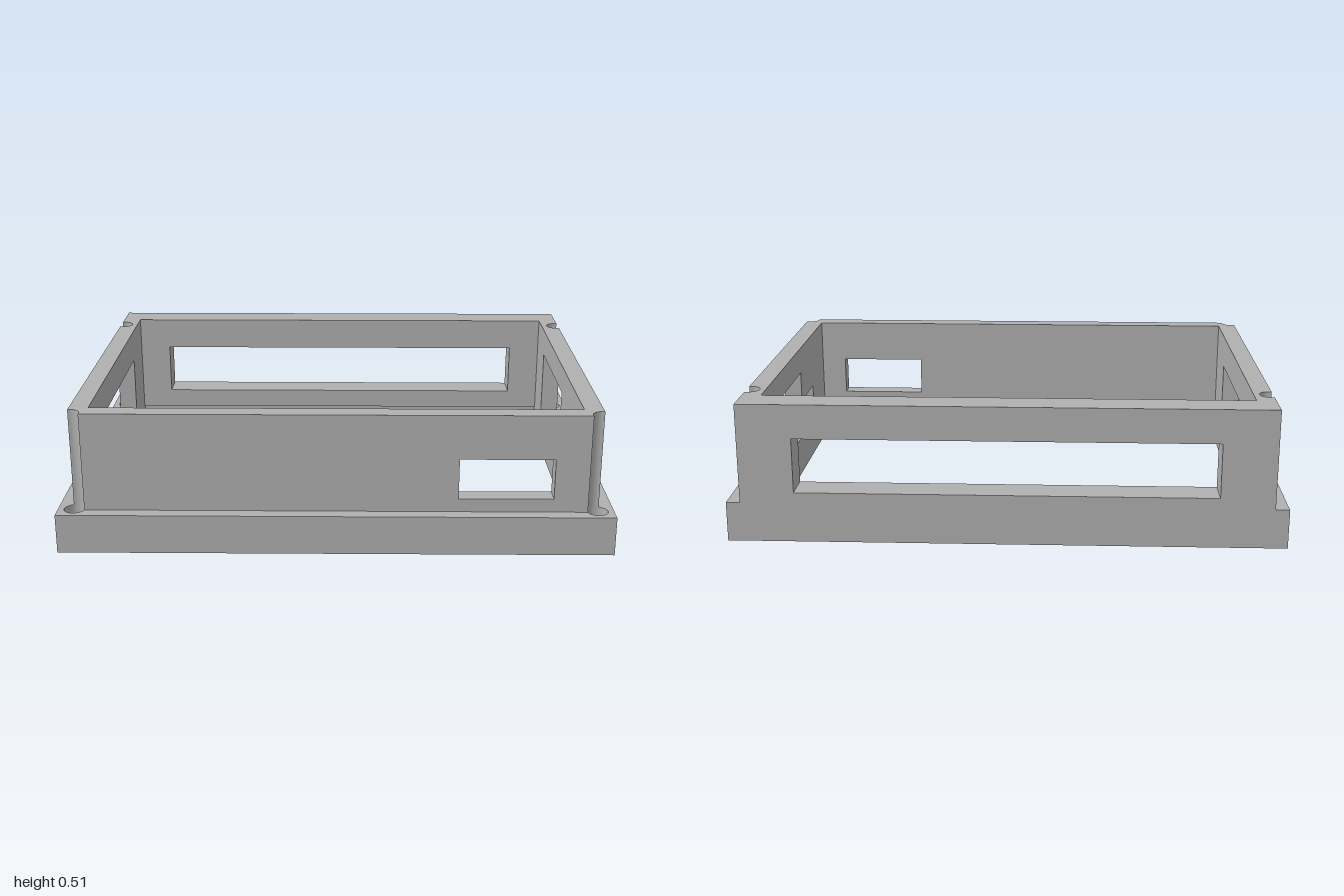
import * as THREE from 'three';
import { toCreasedNormals } from 'three/addons/utils/BufferGeometryUtils.js';

const BASE_H = 0.145, TOP = 0.51, R = 0.038, SCREW_X = 0.94;
const OUT_X = 0.95, IN_X = 0.88, FRONT_Z = 0.67, BACK_Z = -0.72, IN_Z = 0.6;
const SCREW_FRONT = 0.66, SCREW_BACK = -0.52;

const poly = (pts) => new THREE.Shape(pts.map(([x, y]) => new THREE.Vector2(x, y)));
const rect = (a, b, c, d) => [[a, c], [b, c], [b, d], [a, d]];

function extrude(shape, depth) {
  return new THREE.ExtrudeGeometry(shape, { depth, bevelEnabled: false, curveSegments: 24 });
}

// Plan outline (x, z) extruded upwards between two heights
function planSolid(shape, y0, y1) {
  const g = extrude(shape, y1 - y0);
  g.rotateX(Math.PI / 2);
  g.translate(0, y1, 0);
  return toCreasedNormals(g, 0.6);
}

// Upright panel with rectangular windows and an optional notch open at the bottom
function panelShape(u0, u1, windows, notch) {
  const pts = [[u0, BASE_H]];
  if (notch) {
    const [a, b, h] = notch;
    pts.push([a, BASE_H], [a, h], [b, h], [b, BASE_H]);
  }
  pts.push([u1, BASE_H], [u1, TOP], [u0, TOP]);
  const s = poly(pts);
  windows.forEach((w) => s.holes.push(poly(rect(...w))));
  return s;
}

// Points along the screw groove around (SCREW_X, z)
function groove(z, from, to) {
  return Array.from({ length: 17 }, (_, i) => {
    const a = from + (to - from) * i / 16;
    return [SCREW_X + R * Math.cos(a), z + R * Math.sin(a)];
  });
}

export function createModel() {
  const model = new THREE.Group();
  model.name = 'enclosureFrame';
  const grey = new THREE.MeshStandardMaterial({ color: 0xb0b0b0 });
  grey.name = 'grey';
  const add = (name, geo) => {
    const m = new THREE.Mesh(geo, grey);
    m.name = name;
    model.add(m);
  };

  // Base flange, with a shallow step inside its front and back rails
  const flange = (innerZ) => {
    const s = poly(rect(-1, 1, -0.72, 0.72));
    s.holes.push(poly(rect(-IN_X, IN_X, -innerZ, innerZ)));
    for (const x of [-SCREW_X, SCREW_X]) for (const z of [SCREW_FRONT, SCREW_BACK]) {
      s.holes.push(new THREE.Path().absarc(x, z, R, 0, Math.PI * 2, true));
    }
    return s;
  };
  add('baseFlangeLower', planSolid(flange(0.617), 0, 0.11));
  add('baseFlangeUpper', planSolid(flange(IN_Z), 0.11, BASE_H));

  // Corner posts with screw grooves, mirrored left and right
  const sideA = Math.acos((OUT_X - SCREW_X) / R);
  const frontA = Math.asin((FRONT_Z - SCREW_FRONT) / R);
  const front = [
    [OUT_X, 0.5], ...groove(SCREW_FRONT, -sideA, -Math.PI - frontA),
    [0.82, FRONT_Z], [0.82, IN_Z], [IN_X, IN_Z], [IN_X, 0.5],
  ];
  const back = [
    [OUT_X, -0.45], ...groove(SCREW_BACK, sideA, Math.PI * 2 - sideA),
    [OUT_X, BACK_Z], [0.82, BACK_Z], [0.82, -IN_Z], [IN_X, -IN_Z], [IN_X, -0.45],
  ];
  for (const [side, sx] of [['left', 1], ['right', -1]]) {
    const mirror = (pts) => poly(pts.map(([x, z]) => [x * sx, z]));
    add(side + 'FrontPost', planSolid(mirror(front), BASE_H, TOP));
    add(side + 'BackPost', planSolid(mirror(back), BASE_H, TOP));
  }

  // Front wall with a small port
  const frontWall = extrude(panelShape(-0.82, 0.82, [[0.44, 0.78, 0.195, 0.345]]), FRONT_Z - IN_Z);
  frontWall.translate(0, 0, IN_Z);
  add('frontWall', frontWall);

  // Back wall with a long window
  const backWall = extrude(panelShape(-0.82, 0.82, [[-0.755, 0.755, 0.185, 0.385]]), -IN_Z - BACK_Z);
  backWall.translate(0, 0, BACK_Z);
  add('backWall', backWall);

  // Side walls with openings reaching down to the flange
  const sideWall = (name, windows, notch, x) => {
    const g = extrude(panelShape(-0.45, 0.5, windows, notch), OUT_X - IN_X);
    g.rotateY(-Math.PI / 2);
    g.translate(x, 0, 0);
    add(name, g);
  };
  sideWall('leftWall', [[0.145, 0.34, 0.195, 0.29]], [-0.41, 0.1, 0.41], OUT_X);
  sideWall('rightWall', [], [-0.385, 0.36, 0.388], -IN_X);

  return model;
}
